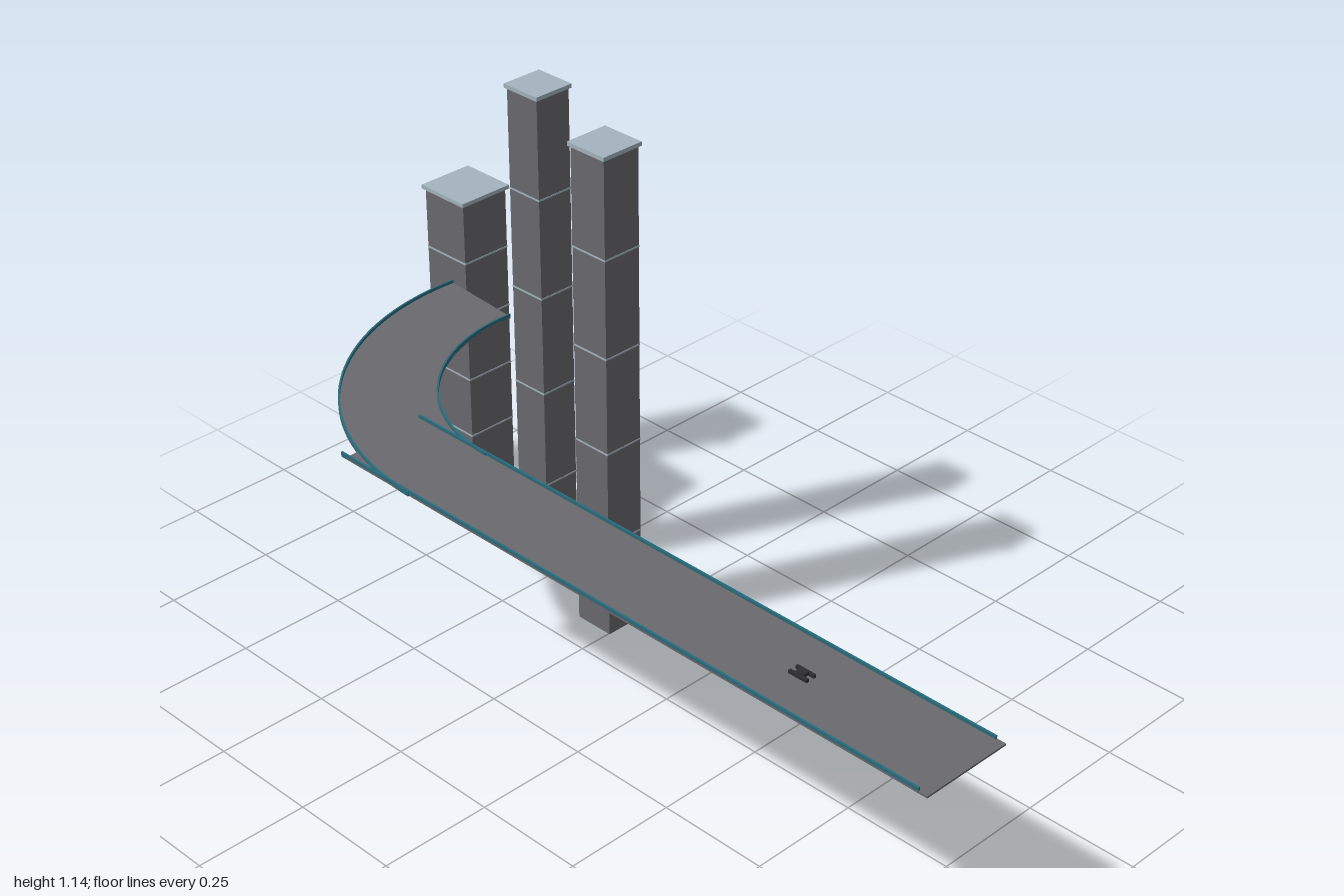
import * as THREE from 'three';

const material = (name, color) => {
  const m = new THREE.MeshStandardMaterial({ color });
  m.name = name;
  return m;
};

export function createModel() {
  const model = new THREE.Group();
  model.name = 'elevatedRoadAndTowers';
  const concrete = material('concreteGrey', 0x69696f);
  const trim = material('paleBlueGrey', 0xa4b4be);
  const teal = material('railTeal', 0x2a6c7c);
  const dark = material('vehicleDark', 0x2c2c32);

  const add = (parent, name, geometry, mat, x = 0, y = 0, z = 0) => {
    const mesh = new THREE.Mesh(geometry, mat);
    mesh.name = name;
    mesh.position.set(x, y, z);
    parent.add(mesh);
    return mesh;
  };
  const box = (parent, name, mat, w, h, d, x, y, z) =>
    add(parent, name, new THREE.BoxGeometry(w, h, d), mat, x, y, z);

  // Towers: square shaft, four thin floor bands and an overhanging roof slab
  const towers = [
    { x: 0.123, z: -0.294, width: 0.093, height: 1.1125 },
    { x: 0.185, z: -0.55, width: 0.087, height: 1.132 },
    { x: 0.3125, z: -0.933, width: 0.122, height: 0.728 },
  ];
  for (const { x, z, width, height } of towers) {
    const tower = new THREE.Group();
    tower.name = 'tower';
    tower.position.set(x, 0, z);
    box(tower, 'shaft', concrete, width, height, width, 0, height / 2, 0);
    for (let i = 1; i < 5; i++) {
      box(tower, 'floorBand', trim, width * 1.015, 0.004, width * 1.015, 0, height * i / 5, 0);
    }
    box(tower, 'roofSlab', trim, width * 1.1, 0.009, width * 1.1, 0, height, 0);
    model.add(tower);
  }

  // Straight road with a rail along each edge
  const deckY = 0.519, deckHeight = 0.004, railHeight = 0.011;
  const roadX = -0.28, roadWidth = 0.206, railWidth = 0.004;
  box(model, 'straightDeck', concrete, roadWidth, deckHeight, 1.516, roadX, deckY + deckHeight / 2, 0.242);
  for (const side of [-1, 1]) {
    box(model, 'straightRail', teal, railWidth, railHeight, 1.51,
      roadX + side * (roadWidth - railWidth) / 2, deckY + railHeight / 2, 0.225);
  }

  // Curved road: flat ring sectors about the bend's centre
  const inner = 0.387, outer = inner + roadWidth;
  const ringSector = (r0, r1, depth) => {
    const start = Math.PI, end = THREE.MathUtils.degToRad(85.9);
    const shape = new THREE.Shape();
    shape.absarc(0, 0, r1, start, end, true);
    shape.absarc(0, 0, r0, end, start, false);
    shape.closePath();
    return new THREE.ExtrudeGeometry(shape, { depth, bevelEnabled: false, curveSegments: 40 })
      .rotateX(-Math.PI / 2);
  };
  const bend = new THREE.Group();
  bend.name = 'bend';
  bend.position.set(0.208, deckY - 0.0006, -0.325);
  add(bend, 'curvedDeck', ringSector(inner, outer, deckHeight), concrete);
  add(bend, 'innerRail', ringSector(inner, inner + railWidth, railHeight), teal);
  add(bend, 'outerRail', ringSector(outer - railWidth, outer, railHeight), teal);
  model.add(bend);

  // Small vehicle: two long side pods joined by a short body
  const vehicle = new THREE.Group();
  vehicle.name = 'vehicle';
  vehicle.position.set(roadX, deckY + deckHeight, 0.62);
  for (const side of [-1, 1]) {
    box(vehicle, 'sidePod', dark, 0.006, 0.007, 0.044, side * 0.0095, 0.0045, 0);
  }
  box(vehicle, 'vehicleBody', dark, 0.014, 0.007, 0.02, 0, 0.0065, 0);
  model.add(vehicle);

  return model;
}
